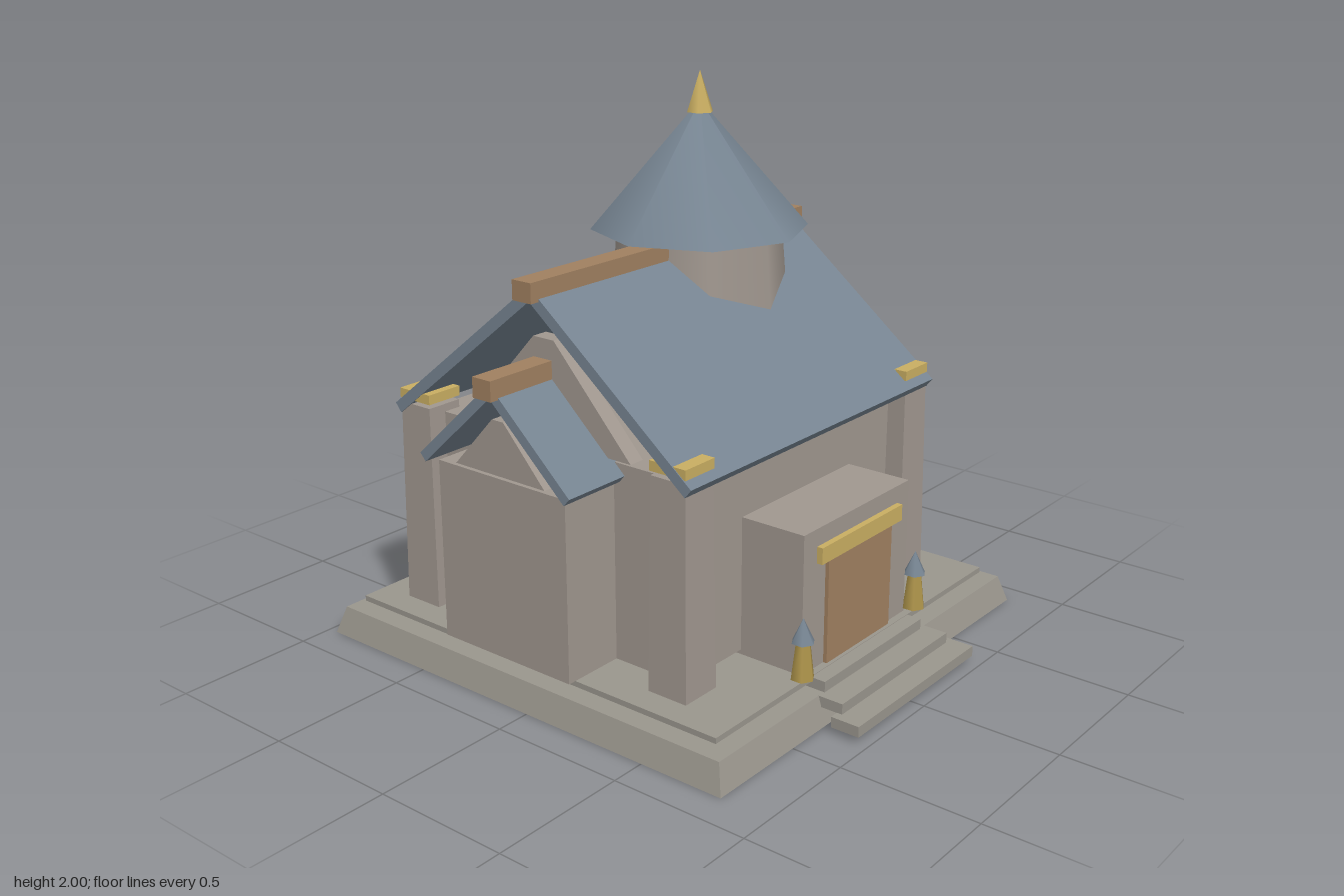
import * as THREE from 'three';

const mat = (name, color) => {
  const m = new THREE.MeshStandardMaterial({ color });
  m.name = name;
  return m;
};

export function createModel() {
  const wall = mat('wall stone', 0xa0978f);
  const paving = mat('paving stone', 0x9a968d);
  const slate = mat('slate', 0x768491);
  const wood = mat('wood', 0xa08060);
  const gold = mat('gold', 0xc9ae62);
  const bronze = mat('bronze', 0xb0964c);

  const model = new THREE.Group();
  const CX = 0.015, CZ = -0.112; // centre of the main hall

  const add = (name, geometry, material, x = 0, y = 0, z = 0) => {
    const mesh = new THREE.Mesh(geometry, material);
    mesh.name = name;
    mesh.position.set(x, y, z);
    model.add(mesh);
    return mesh;
  };

  // Box given by its limits
  const box = (name, material, x0, x1, y0, y1, z0, z1) =>
    add(name, new THREE.BoxGeometry(x1 - x0, y1 - y0, z1 - z0), material,
      (x0 + x1) / 2, (y0 + y1) / 2, (z0 + z1) / 2);

  // Square tapered block with flat faces
  const taper = (name, material, top, bottom, y0, y1, x, z) => {
    const g = new THREE.CylinderGeometry(top * Math.SQRT2, bottom * Math.SQRT2, y1 - y0, 4)
      .rotateY(Math.PI / 4).toNonIndexed();
    g.computeVertexNormals();
    add(name, g, material, x, (y0 + y1) / 2, z);
  };

  // Round part with few sides, from y0 to y1
  const cone = (name, material, top, bottom, sides, y0, y1, x, z) =>
    add(name, new THREE.CylinderGeometry(top, bottom, y1 - y0, sides), material, x, (y0 + y1) / 2, z);

  // Two sloping slabs, from the ridge (dz, y) to the eaves (dz, y)
  const roof = (name, x0, x1, zc, ridge, eave, thick) => {
    const dz = eave[0] - ridge[0], dy = ridge[1] - eave[1];
    for (const s of [1, -1]) {
      const slab = add(name, new THREE.BoxGeometry(x1 - x0, thick, Math.hypot(dz, dy)), slate,
        (x0 + x1) / 2, (ridge[1] + eave[1]) / 2, zc + s * (ridge[0] + eave[0]) / 2);
      slab.rotation.x = s * Math.atan2(dy, dz);
    }
  };

  // Gable with a blunt tip, standing across x
  const gable = (name, x0, depth, zc, y0, y1, half, tip) => {
    const shape = new THREE.Shape([[-half, y0], [half, y0], [tip, y1], [-tip, y1]]
      .map(([a, b]) => new THREE.Vector2(a, b)));
    const g = new THREE.ExtrudeGeometry(shape, { depth, bevelEnabled: false }).rotateY(Math.PI / 2);
    add(name, g, wall, x0, 0, zc);
  };

  // Ground platform and terrace
  taper('platform', paving, 0.86, 0.89, 0, 0.1, CX, -0.073);
  box('terrace', paving, -0.795, 0.825, 0.12, 0.14, -0.885, 0.735);

  // Entrance steps
  [[0.362, 0.025, 0.86, 0.967], [0.328, 0.062, 0.77, 0.88], [0.298, 0.1, 0.685, 0.79]]
    .forEach(([half, y, z0, z1]) =>
      box('step', paving, 0.013 - half, 0.013 + half, y, y + 0.038, z0, z1));

  // Main hall with corner piers and their caps
  box('hallWalls', wall, CX - 0.63, CX + 0.63, 0.157, 0.86, CZ - 0.57, CZ + 0.57);
  for (const sx of [1, -1]) {
    for (const sz of [1, -1]) {
      const x = CX + sx * 0.632, z = CZ + sz * 0.57;
      taper('cornerPier', wall, 0.07, 0.078, 0.14, 0.888, x, z);
      box('pierCap', gold, x - 0.072, x + 0.072, 0.903, 0.938, z - 0.073, z + 0.073);
    }
    gable('hallGable', CX + sx * 0.615 - 0.03, 0.06, CZ, 0.873, 1.225, 0.37, 0.045);
  }
  roof('hallRoof', -0.692, 0.722, CZ, [0.018, 1.372], [0.654, 0.863], 0.04);
  box('hallRidgeBeam', wood, -0.727, 0.755, 1.367, 1.436, -0.15, -0.068);

  // Side wing
  box('wingWalls', wall, -0.848, -0.55, 0.157, 0.8, CZ - 0.285, CZ + 0.285);
  gable('wingGable', -0.85, 0.05, CZ, 0.81, 1.0, 0.2, 0.025);
  roof('wingRoof', -0.877, -0.6, CZ - 0.006, [0.018, 1.088], [0.325, 0.808], 0.036);
  box('wingRidgeBeam', wood, -0.91, -0.6, 1.085, 1.155, -0.157, -0.077);

  // Porch with door
  box('porch', wall, -0.303, 0.327, 0.14, 0.64, 0.4, 0.708);
  box('door', wood, -0.177, 0.205, 0.14, 0.518, 0.7, 0.722);
  box('doorLintel', gold, -0.228, 0.255, 0.518, 0.577, 0.7, 0.73);

  // Lanterns beside the door
  for (const x of [-0.329, 0.357]) {
    cone('lanternPost', bronze, 0.026, 0.042, 6, 0.152, 0.282, x, 0.73);
    cone('lanternHood', slate, 0, 0.041, 6, 0.282, 0.367, x, 0.73);
  }

  // Tower
  cone('towerDrum', wall, 0.3, 0.327, 8, 1.097, 1.44, 0.23, -0.147);
  cone('towerRoof', slate, 0, 0.395, 8, 1.438, 1.895, 0.23, -0.147);
  cone('towerFinial', gold, 0, 0.049, 6, 1.853, 2, 0.23, -0.147);

  return model;
}
